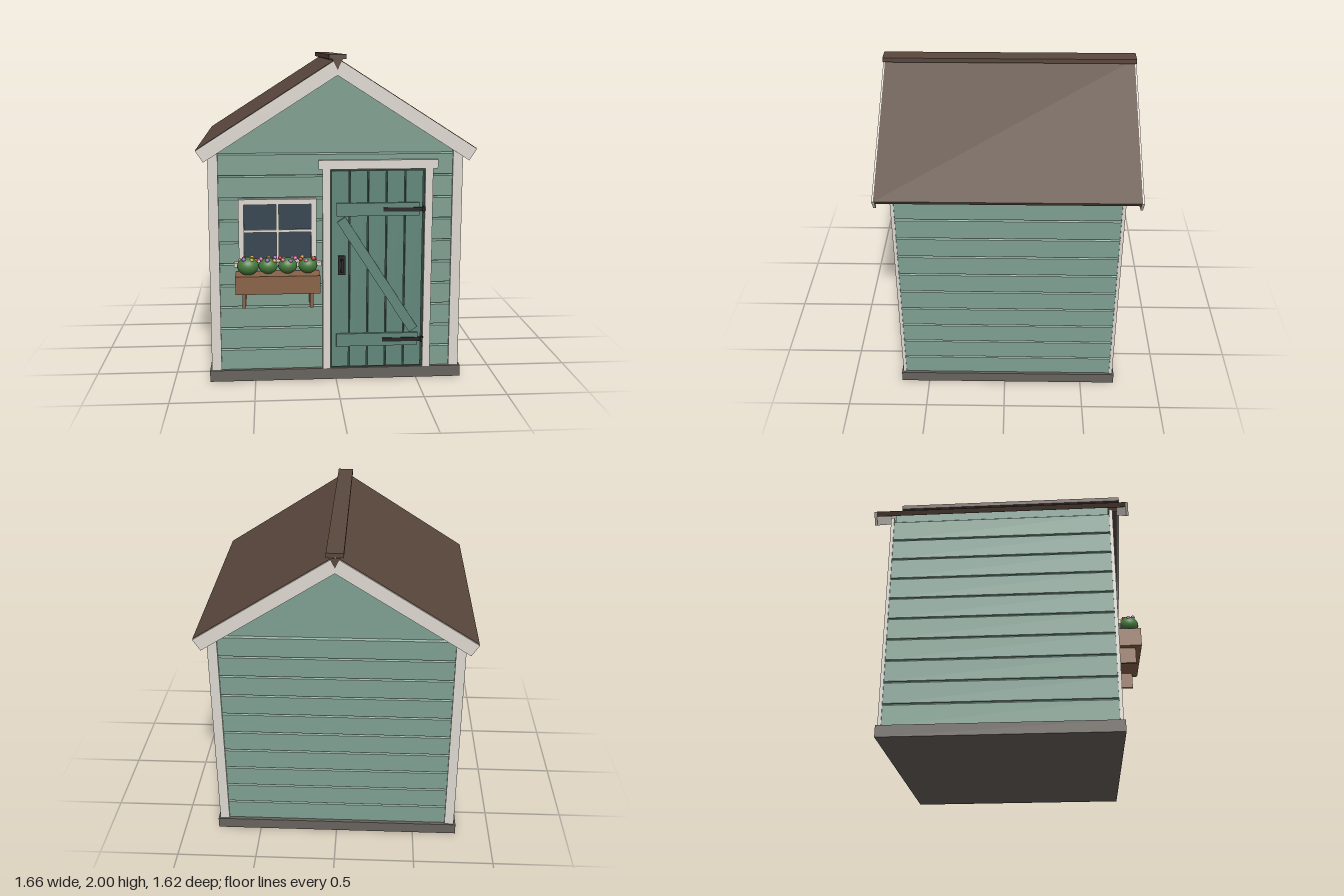
import * as THREE from 'three';

const mat = (color, extra = {}) => new THREE.MeshStandardMaterial({ color, ...extra });

export function createModel() {
  const model = new THREE.Group();
  const M = {
    wall: mat(0x7f9f90), door: mat(0x62877a), gap: mat(0x2f443c), trim: mat(0xddd8d0),
    roof: mat(0x5a483d), base: mat(0x67625c), glass: mat(0x34434f), planter: mat(0x8a6248),
    iron: mat(0x242426), leaf: mat(0x477a3c),
  };

  const add = (name, geo, material, parent = model) => {
    const mesh = new THREE.Mesh(geo, material);
    mesh.name = name;
    parent.add(mesh);
    return mesh;
  };
  // Box given by its limits on each axis
  const box = (name, x0, x1, y0, y1, z0, z1, material, parent) => {
    const mesh = add(name, new THREE.BoxGeometry(x1 - x0, y1 - y0, z1 - z0), material, parent);
    mesh.position.set((x0 + x1) / 2, (y0 + y1) / 2, (z0 + z1) / 2);
    return mesh;
  };
  // Outline in x and y, extruded between two z limits
  const prism = (name, pts, z0, z1, material, parent) => {
    const shape = new THREE.Shape(pts.map(([x, y]) => new THREE.Vector2(x, y)));
    const geo = new THREE.ExtrudeGeometry(shape, { depth: z1 - z0, bevelEnabled: false });
    geo.translate(0, 0, z0);
    return add(name, geo, material, parent);
  };
  const group = (name) => {
    const g = new THREE.Group();
    g.name = name;
    model.add(g);
    return g;
  };

  const ZC = -0.02; // middle of the house in z
  const ridgeY = 1.98, eaveX = 0.83, eaveY = 1.45;

  // Floor slab and solid wall core with gables
  box('base', -0.78, 0.78, 0, 0.07, ZC - 0.7, ZC + 0.7, M.base);
  prism('wallCore', [[-0.745, 0.07], [0.745, 0.07], [0.745, 1.47], [0, 1.945], [-0.745, 1.47]],
    ZC - 0.665, ZC + 0.665, M.wall);

  // Siding boards with a sloped top edge on all four walls
  const pitch = 0.135;
  const siding = group('siding');
  const boardGeo = (length) => {
    const s = new THREE.Shape([[0, 0], [0.017, 0], [0.017, pitch - 0.012], [0, pitch]]
      .map(([x, y]) => new THREE.Vector2(x, y)));
    return new THREE.ExtrudeGeometry(s, { depth: length, bevelEnabled: false }).translate(0, 0, -length / 2);
  };
  const sideGeo = boardGeo(1.346), endGeo = boardGeo(1.5);
  for (let i = 0; i < 10; i++) {
    for (let k = 0; k < 4; k++) {
      const board = add('sidingBoard', k % 2 ? endGeo : sideGeo, M.wall, siding);
      const angle = (k * Math.PI) / 2;
      const r = k % 2 ? 0.66 : 0.745;
      board.rotation.y = angle;
      board.position.set(Math.cos(angle) * r, 0.07 + i * pitch, ZC - Math.sin(angle) * r);
    }
  }

  // Corner trims
  for (const s of [-1, 1]) for (const f of [-1, 1]) {
    const trim = box('cornerTrim', -0.03, 0.03, 0.07, 1.44, -0.01, 0.01, M.trim);
    trim.position.x = s * 0.738;
    trim.position.z = ZC + f * 0.68;
  }

  // Roof slabs and bargeboards: bands of thickness t below the roof line
  const len = Math.hypot(eaveX, ridgeY - eaveY);
  const nx = (ridgeY - eaveY) / len, ny = eaveX / len;
  const band = (s, t) => {
    const pts = [[0, ridgeY], [0, ridgeY - t / ny], [s * (eaveX - nx * t), eaveY - ny * t], [s * eaveX, eaveY]];
    return s > 0 ? pts : pts.reverse();
  };
  for (const s of [-1, 1]) {
    prism('roofSlab', band(s, 0.03), ZC - 0.775, ZC + 0.775, M.roof);
    for (const z of [ZC + 0.77, ZC - 0.785]) {
      const b = prism('bargeboard', band(s, 0.082), z, z + 0.015, M.trim);
      b.position.y = -0.003;
    }
  }
  box('ridgeCap', -0.05, 0.05, 1.972, 2, ZC - 0.783, ZC + 0.785, M.roof);
  prism('ridgeBeam', [[0, 1.91], [0.03, 1.972], [-0.03, 1.972]], ZC - 0.786, ZC + 0.786, M.roof);

  // Door frame
  const door = group('door');
  box('doorPost', -0.082, -0.035, 0.07, 1.32, 0.63, 0.68, M.trim, door);
  box('doorPost', 0.54, 0.587, 0.07, 1.32, 0.63, 0.68, M.trim, door);
  box('doorHeader', -0.107, 0.615, 1.32, 1.375, 0.63, 0.685, M.trim, door);

  // Door planks over a dark backing
  box('doorBacking', -0.035, 0.54, 0.07, 1.32, 0.63, 0.665, M.gap, door);
  for (let i = 0; i < 5; i++) {
    const x = -0.028 + i * 0.1125;
    box('doorPlank', x, x + 0.104, 0.08, 1.31, 0.64, 0.678, M.door, door);
  }
  // Ledges, diagonal brace and strap hinges
  for (const y of [0.215, 1.035]) {
    box('doorLedge', 0, 0.505, y, y + 0.08, 0.67, 0.694, M.door, door);
    box('strapHinge', 0.285, 0.537, y + 0.027, y + 0.051, 0.69, 0.7, M.iron, door);
    const pin = add('hingePin', new THREE.CylinderGeometry(0.009, 0.009, 0.035, 12), M.iron, door);
    pin.position.set(0.53, y + 0.039, 0.697);
  }
  const brace = add('doorBrace', new THREE.BoxGeometry(0.06, 0.83, 0.022), M.door, door);
  brace.position.set(0.253, 0.665, 0.682);
  brace.rotation.z = Math.atan2(0.45, 0.7);
  // Handle
  box('handlePlate', 0.01, 0.055, 0.67, 0.79, 0.675, 0.688, M.iron, door);
  box('handleGrip', 0.026, 0.04, 0.69, 0.77, 0.706, 0.718, M.iron, door);
  for (const y of [0.69, 0.756]) box('handleStud', 0.026, 0.04, y, y + 0.014, 0.685, 0.71, M.iron, door);

  // Window
  const win = group('window');
  box('windowGlass', -0.575, -0.135, 0.75, 1.125, 0.64, 0.664, M.glass, win);
  box('windowStile', -0.59, -0.558, 0.74, 1.142, 0.64, 0.682, M.trim, win);
  box('windowStile', -0.152, -0.12, 0.74, 1.142, 0.64, 0.682, M.trim, win);
  box('windowRail', -0.56, -0.15, 1.11, 1.142, 0.64, 0.682, M.trim, win);
  box('windowRail', -0.56, -0.15, 0.74, 0.772, 0.64, 0.682, M.trim, win);
  box('windowMuntin', -0.363, -0.347, 0.76, 1.12, 0.65, 0.675, M.trim, win);
  box('windowMuntin', -0.57, -0.14, 0.938, 0.954, 0.65, 0.674, M.trim, win);
  box('windowSill', -0.62, -0.09, 0.73, 0.755, 0.64, 0.695, M.trim, win);

  // Planter on two brackets
  const planter = group('planter');
  box('planterBox', -0.61, -0.105, 0.59, 0.7, 0.675, 0.81, M.planter, planter);
  for (const x of [-0.57, -0.165]) box('planterBracket', x, x + 0.02, 0.495, 0.59, 0.65, 0.775, M.planter, planter);

  // Bushes dotted with blossoms
  const blossoms = [0xc23b3b, 0xd9a23c, 0x9a5fc0, 0xd873a5].map((c) => mat(c));
  const blossomGeo = new THREE.SphereGeometry(0.013, 12, 8);
  [[-0.535, 0.065], [-0.415, 0.057], [-0.297, 0.057], [-0.176, 0.057]].forEach(([x, r], i) => {
    const bush = add('bush', new THREE.SphereGeometry(r, 24, 16), M.leaf, planter);
    bush.scale.set(1, 0.85, 0.9);
    bush.position.set(x, 0.75, 0.744);
    for (let k = 0; k < 6; k++) {
      const a = k * 1.05 + i * 0.6;
      const flower = add('blossom', blossomGeo, blossoms[(k + i) % 4], planter);
      flower.position.set(x + Math.cos(a) * 0.046, 0.783 + 0.006 * (k % 3), 0.742 + Math.sin(a) * 0.032);
    }
  });

  return model;
}
